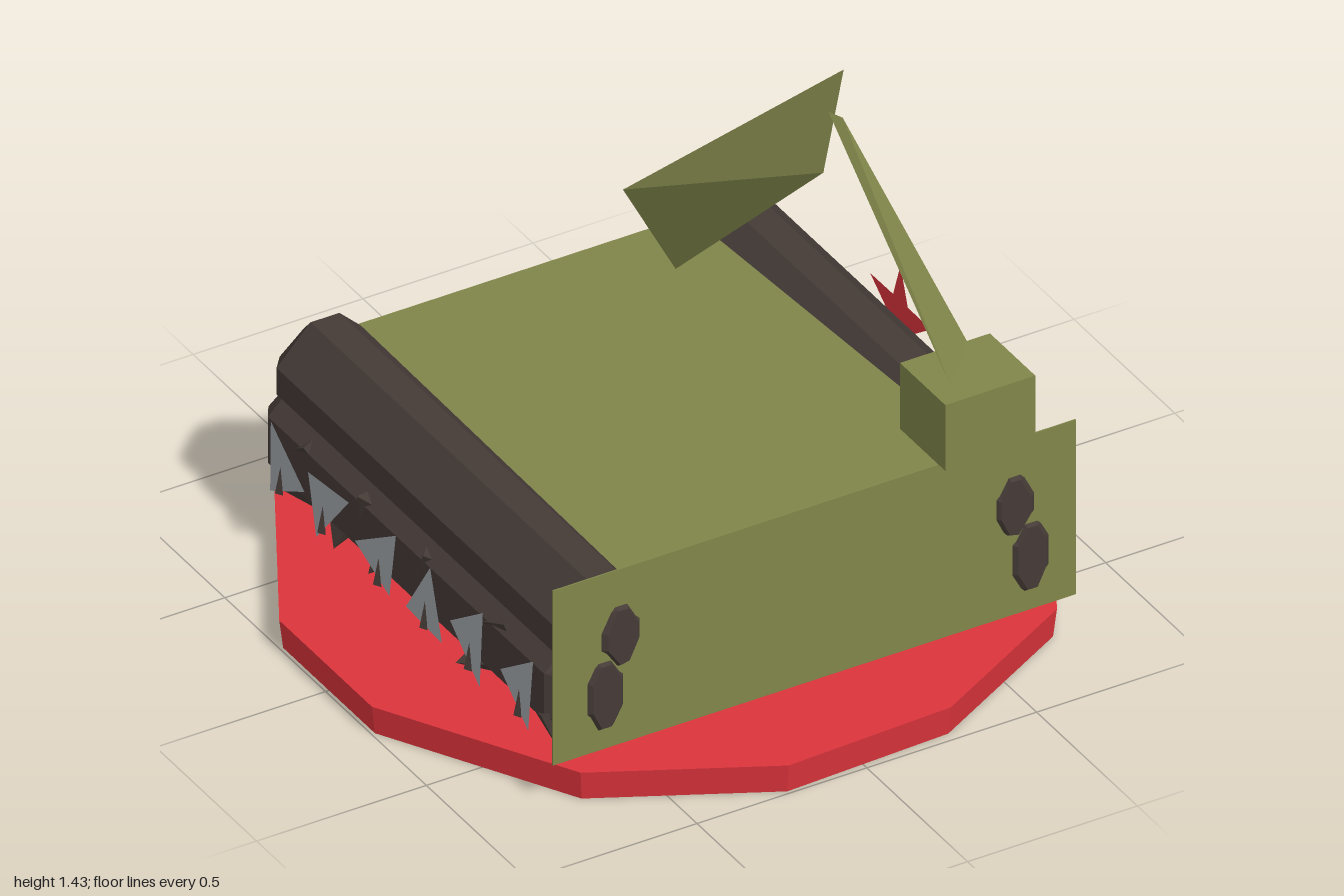
import * as THREE from 'three';

const material = (name, color) => {
  const m = new THREE.MeshStandardMaterial({ color, flatShading: true, side: THREE.DoubleSide });
  m.name = name;
  return m;
};

// Stacked rings of [x, y, z] points, joined by quads and closed by fans
function loft(rings) {
  const n = rings[0].length, pos = rings.flat(2), idx = [];
  for (let r = 0; r < rings.length - 1; r++) {
    for (let i = 0; i < n; i++) {
      const a = r * n + i, b = r * n + (i + 1) % n;
      idx.push(a, b, b + n, a, b + n, a + n);
    }
  }
  const last = (rings.length - 1) * n;
  for (let i = 1; i < n - 1; i++) idx.push(0, i + 1, i, last, last + i, last + i + 1);
  const g = new THREE.BufferGeometry();
  g.setAttribute('position', new THREE.Float32BufferAttribute(pos, 3));
  g.setIndex(idx);
  const flat = g.toNonIndexed();
  flat.computeVertexNormals();
  return flat;
}

// Flat face from a fan of corners
function panel(points) {
  const pos = [];
  for (let i = 1; i < points.length - 1; i++) pos.push(...points[0], ...points[i], ...points[i + 1]);
  const g = new THREE.BufferGeometry();
  g.setAttribute('position', new THREE.Float32BufferAttribute(pos, 3));
  g.computeVertexNormals();
  return g;
}

// Track beam along z: a cross-section that shrinks about (cx, cy) at both ends
function beam(section, cx, cy) {
  const stations = [[-0.758, 0.7, 0.58], [-0.69, 1, 1], [0.68, 1, 1], [0.768, 0.32, 0.6]];
  return loft(stations.map(([z, sx, sy]) => section.map(([x, y]) => [cx + (x - cx) * sx, cy + (y - cy) * sy, z])));
}

export function createModel() {
  const olive = material('olive', 0x80864a);
  const red = material('red', 0xdc343c);
  const dark = material('dark brown', 0x453b37);
  const grey = material('steel grey', 0xa3a8ad);
  const model = new THREE.Group();
  const add = (name, geometry, mat, parent = model) => {
    const mesh = new THREE.Mesh(geometry, mat);
    mesh.name = name;
    parent.add(mesh);
    return mesh;
  };

  // Faceted round base
  const rim = [[-0.23, -0.985], [-0.02, -1], [0.29, -0.965], [0.72, -0.73], [0.97, -0.26], [1, 0], [0.97, 0.29],
    [0.72, 0.73], [0.26, 0.98], [-0.23, 1], [-0.7, 0.76], [-1, 0.23], [-1, -0.23], [-0.7, -0.76]].reverse();
  add('base', loft([0, 0.085].map((y) => rim.map(([x, z]) => [x * (y ? 1 : 0.99), y, z * (y ? 1 : 0.99)]))), red);

  // Hull slab, dropping a little towards the back
  const hull = [[-0.7, 0.545, 0.3], [0.695, 0.59, 0.3]].map(([z, top, bottom]) => [
    [-0.54, bottom, z * 0.97], [0.53, bottom, z * 0.97], [0.53, top, z], [-0.54, top, z]]);
  add('hull', loft(hull), olive);

  // Front plate, pierced by the track ends
  const plate = add('frontPlate', new THREE.BoxGeometry(1.54, 0.53, 0.004), olive);
  plate.position.set(-0.01, 0.397, 0.755);

  // Two stacked beams make each track
  const upper = beam([[0.54, 0.34], [0.62, 0.33], [0.735, 0.42], [0.735, 0.5], [0.635, 0.605],
    [0.55, 0.605], [0.46, 0.52], [0.46, 0.43]], 0.57, 0.45);
  const lower = beam([[0.59, 0.13], [0.68, 0.13], [0.76, 0.22], [0.76, 0.36], [0.68, 0.44],
    [0.59, 0.44], [0.5, 0.36], [0.5, 0.22]], 0.623, 0.31);

  // Tooth corners as [z, y]
  const teeth = [
    [[0.65, 0.385], [0.65, 0.18], [0.5, 0.28]],
    [[0.4, 0.39], [0.41, 0.175], [0.25, 0.285]],
    [[0.14, 0.38], [0.22, 0.2], [0.04, 0.21]],
    [[-0.03, 0.38], [-0.04, 0.195], [-0.22, 0.26]],
    [[-0.26, 0.35], [-0.46, 0.33], [-0.4, 0.17]],
    [[-0.65, 0.375], [-0.63, 0.18], [-0.47, 0.265]],
  ];
  // Shards as [z, y, radius, spin]
  const shards = [[0.66, 0.2, 0.08, 0.4], [0.43, 0.35, 0.08, 1.2], [0.33, 0.2, 0.08, 2], [0.06, 0.34, 0.08, 0.8],
    [-0.15, 0.24, 0.08, 1.7], [-0.22, 0.34, 0.08, 2.6], [-0.36, 0.22, 0.08, 3.3], [-0.53, 0.34, 0.08, 0.2],
    [-0.6, 0.2, 0.08, 1.1]];
  for (const side of [1, -1]) {
    const track = new THREE.Group();
    track.name = side > 0 ? 'leftTrack' : 'rightTrack';
    track.scale.x = side;
    model.add(track);
    add('upperTrackBeam', upper, dark, track);
    add('lowerTrackBeam', lower, dark, track);
    for (const corners of teeth) {
      add('steelTooth', panel(corners.map(([z, y]) => [0.79 - (y - 0.17) * 0.07, y, z])), grey, track);
      const z = corners.reduce((s, c) => s + c[0], 0) / 3;
      const sliver = add('toothSpike', new THREE.ConeGeometry(0.014, 0.08, 3), dark, track);
      sliver.position.set(0.787, 0.238, z);
    }
    for (const [z, y, r, spin] of shards) {
      const shard = add('trackShard', new THREE.TetrahedronGeometry(r), dark, track);
      shard.position.set(0.722, y, z);
      shard.rotation.set(spin, spin * 1.7, spin * 0.6);
    }
  }

  // Star on the left track
  const star = new THREE.Shape();
  for (let i = 0; i < 10; i++) {
    const r = i % 2 ? 0.062 : 0.158, a = Math.PI / 2 + i * Math.PI / 5;
    star[i ? 'lineTo' : 'moveTo'](Math.cos(a) * r, Math.sin(a) * r);
  }
  const badge = add('star', new THREE.ShapeGeometry(star), red);
  badge.rotation.y = Math.PI / 2;
  badge.position.set(0.756, 0.482, -0.107);

  // Folding arm: pivot block and two plates
  const block = add('armBlock', new THREE.BoxGeometry(0.265, 0.2, 0.225), olive);
  block.position.set(0.482, 0.77, 0.688);
  add('lowerArm', panel([[0.39, 0.89, 0.76], [0.55, 0.86, 0.58], [0.475, 1.29, 0.08], [0.35, 1.43, 0.22]]), olive);
  add('upperArm', panel([[0.19, 0.82, -0.53], [0.25, 0.65, -0.37], [0.335, 1.25, 0.22], [0.49, 1.42, 0.06]]), olive);

  return model;
}
